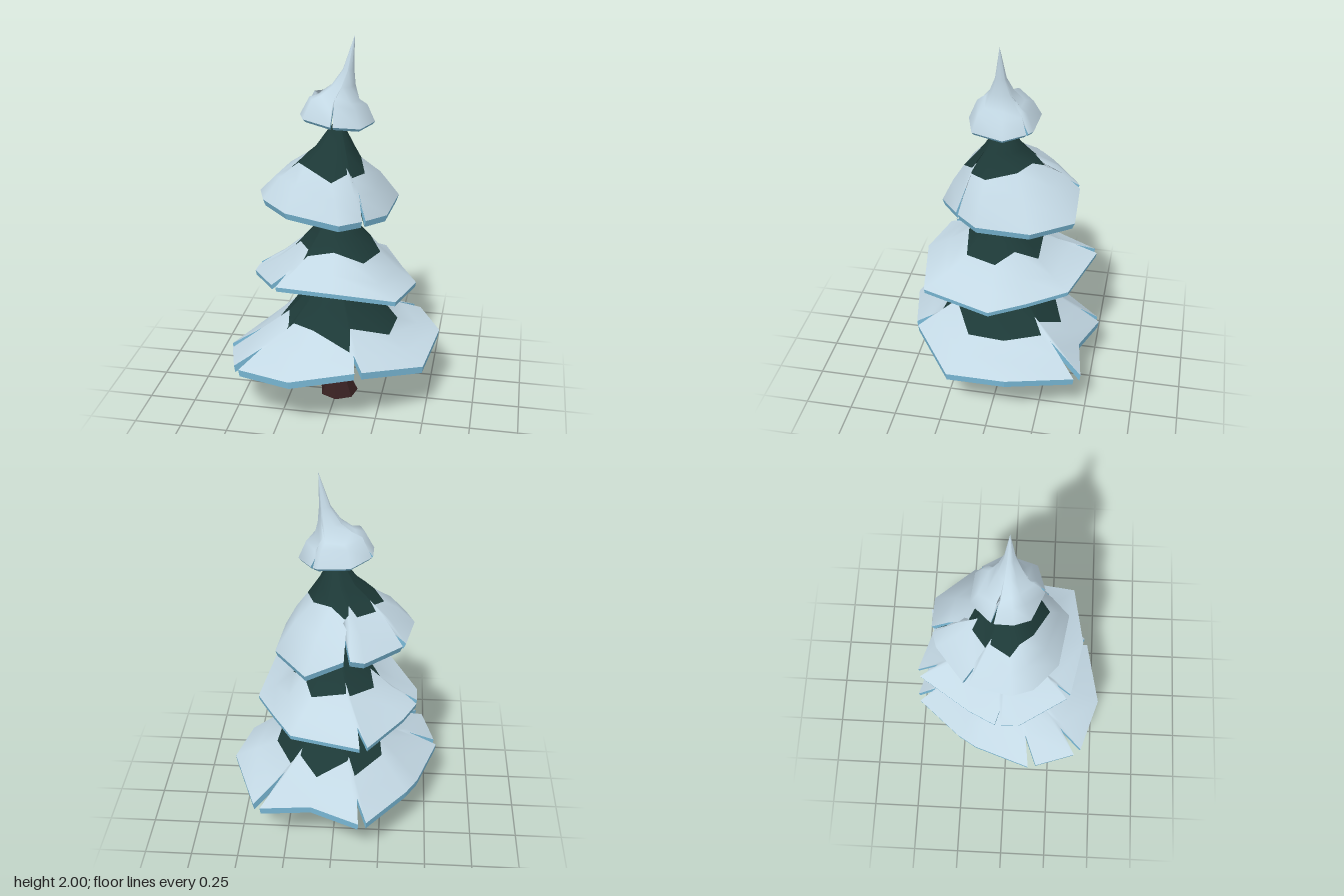
import * as THREE from 'three';

const mat = (name, color) => {
  const m = new THREE.MeshStandardMaterial({ color });
  m.name = name;
  return m;
};

// Grid of rows x columns, closed around; optional reversed winding.
function skin(rows, flip) {
  const n = rows[0].length, index = [];
  for (let k = 0; k < rows.length - 1; k++) {
    for (let i = 0; i < n; i++) {
      const a = k * n + i, b = k * n + (i + 1) % n, c = a + n, d = b + n;
      index.push(...(flip ? [a, c, b, b, c, d] : [a, b, c, b, d, c]));
    }
  }
  const geo = new THREE.BufferGeometry();
  geo.setAttribute('position', new THREE.Float32BufferAttribute(rows.flat(2), 3));
  geo.setIndex(index);
  geo.computeVertexNormals();
  return geo;
}

function faceted(geo) {
  const g = geo.toNonIndexed();
  g.computeVertexNormals();
  return g;
}

function named(name, geo, material) {
  const mesh = new THREE.Mesh(geo, material);
  mesh.name = name;
  return mesh;
}

// Rim corners [x, z, slit depth, lift] run from +x round through +z. A slit splits its
// corner in two with an inset point between. The rim height tilts and warps by rule.
function makeRim({ corners, rimY, tiltX, tiltZ, warp, rings }) {
  const [snowR, snowY] = rings.at(-1);
  return corners.flatMap(([x, z, slit = 0, lift = 0]) => {
    const angle = Math.atan2(z, x), reach = Math.hypot(x, z);
    const y = rimY + tiltX * x + tiltZ * z + warp * Math.cos(2 * angle) + lift;
    const at = (turn, depth) => {
      const r = reach * (1 - depth);
      const rise = reach * depth * (snowY - y) / (reach - snowR);
      return [r * Math.cos(angle + turn), y + rise, r * Math.sin(angle + turn)];
    };
    return slit ? [at(-0.04, 0), at(0, slit), at(0.04, 0)] : [at(0, 0)];
  });
}

// Rings are [radius, y, centre x] from the apex down to the snow line.
function makeTier(name, spec, green, snow, ice) {
  const { thick, inset, bulge, greenRings, rings } = spec;
  const rim = makeRim(spec);
  const rows = rings.map(([r, y, cx], k) => rim.map(([x, , z], i) => {
    const reach = Math.hypot(x, z);
    let rr = r, yy = y;
    if (k === rings.length - 1) {
      // ragged snow line sliding along the slope
      const [pr, py] = rings[k - 1];
      rr = Math.min(r * (1 + 0.15 * Math.sin(i * 1.9 + 0.6)), reach * 0.88);
      yy = py + (y - py) * (rr - pr) / (r - pr);
    }
    return [cx + rr * x / reach, yy, rr * z / reach];
  }));
  // bulging ring halfway between snow line and rim
  const line = rows.at(-1);
  rows.push(rim.map(([x, y, z], i) => {
    const [lx, ly, lz] = line[i];
    return [(x + lx) / 2, (y + ly) / 2 + bulge * Math.hypot(x - lx, z - lz), (z + lz) / 2];
  }));
  rows.push(rim);
  const s = 1 - inset;
  const lower = rows.map(row => row.map(([x, y, z]) => [x * s, y - thick, z * s]));

  const group = new THREE.Group();
  group.name = name;
  const top = skin(rows, false);
  const split = greenRings * rim.length * 6;
  if (split) top.addGroup(0, split, 0);
  top.addGroup(split, top.index.count - split, 1);
  group.add(
    named(name + 'Boughs', top, [green, snow]),
    named(name + 'IcyEdge', faceted(skin([rim, lower.at(-1)], false)), ice),
    named(name + 'Underside', skin(lower.slice(1), true), green),
  );
  return group;
}

export function createModel() {
  const green = mat('needle green', 0x1d3937);
  const snow = mat('snow', 0xc3d8e4);
  const ice = mat('icy blue', 0x7cbddb);
  const bark = mat('bark', 0x372021);
  const wood = mat('cut wood', 0x7c6232);

  const tree = new THREE.Group();
  tree.name = 'snowyTree';

  // Tapered trunk with flared foot and a slight bend
  const profile = [[0.105, 0], [0.06, 0.11], [0.045, 0.35], [0.04, 0.75], [0.028, 1.6], [0.001, 1.7]]
    .map(([r, y]) => new THREE.Vector2(r, y));
  const trunk = new THREE.LatheGeometry(profile, 7);
  const p = trunk.attributes.position;
  for (let i = 0; i < p.count; i++) {
    p.setX(i, p.getX(i) + 0.008 - 0.03 * Math.sin(Math.PI * Math.min(p.getY(i) / 1.5, 1)));
  }
  tree.add(named('trunk', faceted(trunk), bark));

  // Sawn base of the trunk
  const base = new THREE.CircleGeometry(0.105, 7).rotateX(Math.PI / 2).rotateY(Math.PI / 2).translate(0.008, 0, 0);
  tree.add(named('trunkBase', base, wood));

  // Short sawn branches hidden under the boughs
  for (const [y, length, radius, turn] of [[1.2, 0.13, 0.03, 0], [0.87, 0.17, 0.04, Math.PI / 4]]) {
    const stub = new THREE.CylinderGeometry(radius, radius, length, 6).rotateZ(Math.PI / 2)
      .translate(-length / 2, y, 0).rotateY(turn);
    tree.add(named('branchStub', stub, [bark, wood, bark]));
  }

  const addTier = (name, spec) => tree.add(makeTier(name, spec, green, snow, ice));

  addTier('bottomTier', {
    thick: 0.04, inset: 0.01, bulge: 0, greenRings: 3, rimY: 0.33, tiltX: 0.05, tiltZ: 0.055, warp: 0,
    rings: [[0, 0.75, -0.01], [0.08, 0.72, -0.01], [0.18, 0.6, 0], [0.3, 0.475, 0]],
    corners: [[0.545, -0.11, 0, 0.02], [0.49, 0.21, 0, -0.045], [0.185, 0.44, 0.2, 0.02], [-0.16, 0.52, 0, -0.01],
      [-0.46, 0.41, 0.25], [-0.55, 0.155, 0.28], [-0.45, -0.17], [-0.39, -0.27], [-0.165, -0.515, 0.2, -0.015],
      [0.11, -0.44], [0.39, -0.465, 0.35]],
  });
  addTier('lowerMiddleTier', {
    thick: 0.025, inset: 0.01, bulge: -0.05, greenRings: 3, rimY: 0.745, tiltX: -0.03, tiltZ: 0.06, warp: -0.03,
    rings: [[0, 1.14, 0], [0.055, 1.1, 0], [0.13, 0.98, 0], [0.21, 0.885, 0]],
    corners: [[0.42, 0], [0.355, 0.345], [0.03, 0.4], [-0.27, 0.33, 0.2], [-0.43, 0.07],
      [-0.43, -0.04, 0.15], [-0.36, -0.2], [-0.165, -0.48, 0.22], [0.21, -0.38], [0.32, -0.18]],
  });
  addTier('upperMiddleTier', {
    thick: 0.035, inset: 0.035, bulge: 0.12, greenRings: 3, rimY: 1.14, tiltX: -0.1, tiltZ: -0.04, warp: 0,
    rings: [[0, 1.57, 0], [0.04, 1.53, 0], [0.1, 1.43, -0.01], [0.18, 1.335, -0.035]],
    corners: [[0.27, 0.09], [0.17, 0.205, 0.2], [0.06, 0.305], [-0.22, 0.26], [-0.36, 0.14], [-0.4, 0.03],
      [-0.35, -0.2, 0.2], [-0.16, -0.36], [-0.075, -0.385, 0.42, 0.03], [0.13, -0.39, 0, -0.04], [0.295, -0.19]],
  });
  addTier('snowyTop', {
    thick: 0.015, inset: 0.07, bulge: 0.4, greenRings: 0, rimY: 1.58, tiltX: -0.1, tiltZ: 0, warp: 0,
    rings: [[0, 2, 0.085], [0.028, 1.83, 0.055], [0.06, 1.75, 0.03], [0.1, 1.69, 0]],
    corners: [[0.185, -0.03], [0.135, 0.13], [0, 0.17, 0.33], [-0.155, 0.11], [-0.185, 0.03],
      [-0.18, -0.07, 0.36], [-0.08, -0.18], [0.08, -0.165], [0.11, -0.14, 0.15]],
  });
  return tree;
}
